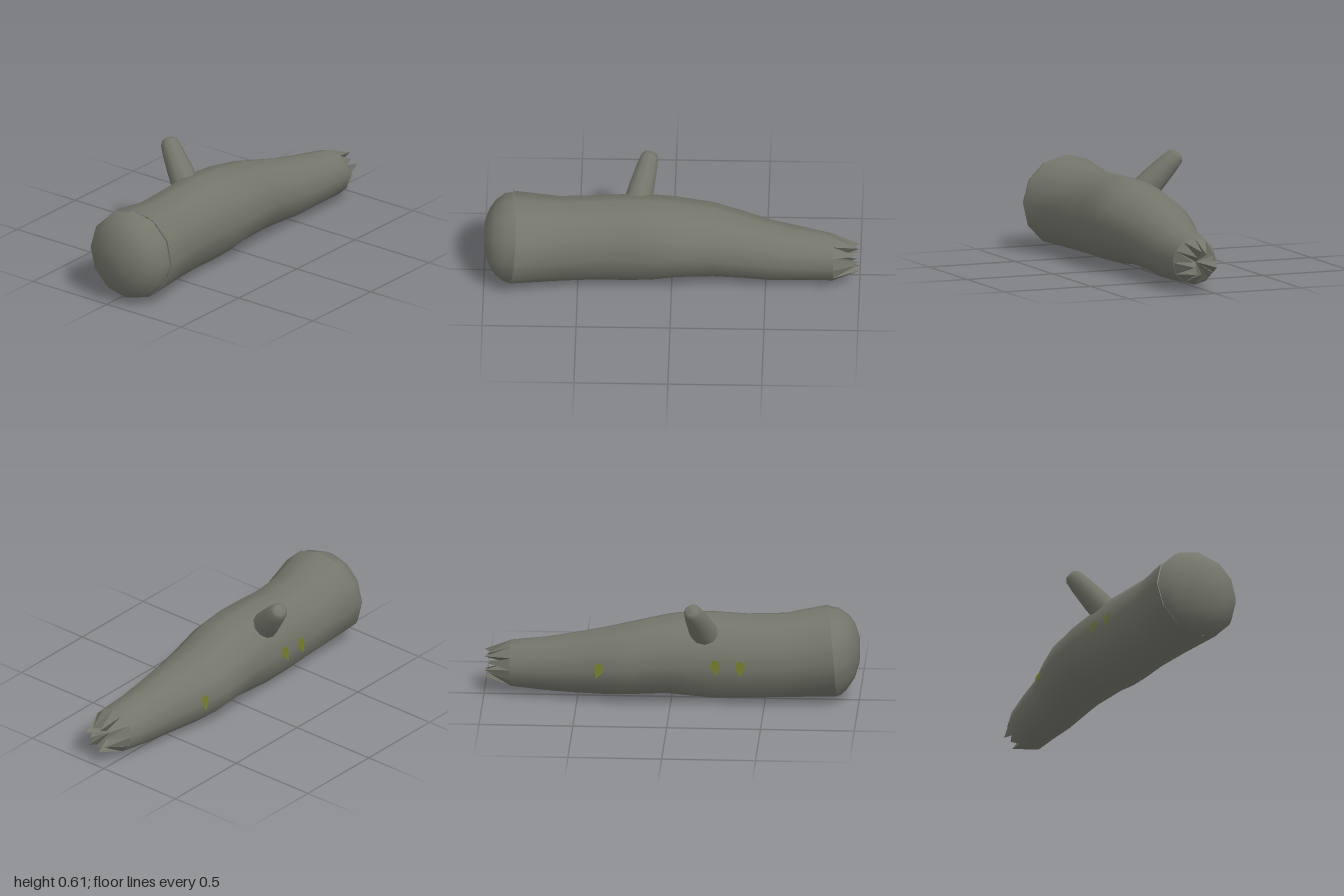
import * as THREE from 'three';

const SIDES = 12;

// Smooth skin through cross-sections: [x, bottom, top, back, front, lean]
function skin(sections) {
  const pos = [], idx = [];
  for (const [x, bottom, top, back, front, lean = 0] of sections) {
    const cy = (bottom + top) / 2, cz = (back + front) / 2;
    for (let j = 0; j < SIDES; j++) {
      const a = (j / SIDES) * Math.PI * 2;
      const dy = Math.cos(a) * (top - bottom) / 2, dz = Math.sin(a) * (front - back) / 2;
      pos.push(x + lean * (dy + dz), cy + dy, cz + dz);
    }
  }
  for (let i = 0; i < sections.length - 1; i++) {
    for (let j = 0; j < SIDES; j++) {
      const k = (j + 1) % SIDES, p = i * SIDES, q = p + SIDES;
      idx.push(p + j, p + k, q + j, p + k, q + k, q + j);
    }
  }
  const g = new THREE.BufferGeometry();
  g.setAttribute('position', new THREE.Float32BufferAttribute(pos, 3));
  g.setIndex(idx);
  g.computeVertexNormals();
  return g;
}

// Ring of pointed splinters falling in to a sunken centre
function splinterGeometry(x, cy, cz, r) {
  const pos = [];
  const at = (px, rad, t) => {
    const a = (t / SIDES) * Math.PI * 2;
    return [px, cy + Math.cos(a) * rad, cz + Math.sin(a) * rad];
  };
  const centre = [x + 0.015, cy, cz];
  for (let j = 0; j < SIDES; j++) {
    const a = at(x, r, j), b = at(x, r, j + 1);
    const tip = at(j % 2 ? 0.985 : 1, j % 2 ? 0.055 : 0.072, j + 0.5);
    pos.push(...a, ...b, ...tip, ...tip, ...b, ...centre, ...a, ...tip, ...centre);
  }
  const g = new THREE.BufferGeometry();
  g.setAttribute('position', new THREE.Float32BufferAttribute(pos, 3));
  g.computeVertexNormals();
  return g;
}

export function createModel() {
  const log = new THREE.Group();
  log.name = 'fallenLog';
  const bark = new THREE.MeshStandardMaterial({ color: 0x74766b });
  const splinterWood = new THREE.MeshStandardMaterial({ color: 0x74766b, side: THREE.DoubleSide });
  const leafGreen = new THREE.MeshStandardMaterial({ color: 0x6c7428, side: THREE.DoubleSide });
  bark.name = 'bark';
  splinterWood.name = 'splinterWood';
  leafGreen.name = 'leafGreen';

  const add = (name, geometry, material) => {
    const mesh = new THREE.Mesh(geometry, material);
    mesh.name = name;
    log.add(mesh);
    return mesh;
  };

  // Trunk, tapering and bending towards +x
  add('trunk', skin([
    [-0.855, 0.012, 0.507, -0.2, 0.307, 0.08],
    [-0.6, 0.008, 0.468, -0.19, 0.25],
    [-0.4, 0.005, 0.468, -0.198, 0.225],
    [-0.23, 0.002, 0.478, -0.203, 0.226],
    [-0.1, 0.014, 0.474, -0.208, 0.236],
    [0.02, 0.03, 0.458, -0.214, 0.23],
    [0.22, 0.024, 0.415, -0.213, 0.2],
    [0.36, 0.018, 0.38, -0.183, 0.187],
    [0.52, 0.014, 0.342, -0.135, 0.183],
    [0.68, 0.022, 0.31, -0.112, 0.179],
    [0.86, 0.033, 0.283, -0.072, 0.182],
  ]), bark);

  // Rounded butt end
  add('roundedEnd', skin([
    [-1, 0.262, 0.264, 0.054, 0.056],
    [-0.998, 0.19, 0.335, -0.02, 0.13],
    [-0.975, 0.11, 0.405, -0.095, 0.2],
    [-0.94, 0.055, 0.455, -0.15, 0.25],
    [-0.895, 0.022, 0.492, -0.185, 0.285, 0.04],
    [-0.855, 0.012, 0.5, -0.195, 0.3, 0.08],
  ]), bark);

  // Snapped end
  add('splinters', splinterGeometry(0.86, 0.158, 0.055, 0.125), splinterWood);

  // Branch stub with a rounded tip
  const base = new THREE.Vector3(-0.197, 0.355, -0.075);
  const axis = new THREE.Vector3(-0.118, 0.593, -0.283).sub(base);
  const h = axis.length();
  const profile = [[0.078, 0], [0.07, h * 0.4], [0.057, h * 0.75], [0.047, h - 0.025], [0.032, h - 0.006], [0, h]];
  const branch = add('branch',
    new THREE.LatheGeometry(profile.map(([r, y]) => new THREE.Vector2(r, y)), 10), bark);
  branch.position.copy(base);
  branch.quaternion.setFromUnitVectors(new THREE.Vector3(0, 1, 0), axis.normalize());

  // Small pointed leaves hanging on the back
  const leafShape = new THREE.Shape();
  leafShape.moveTo(-0.022, 0);
  leafShape.lineTo(0.012, 0.008);
  leafShape.lineTo(0.027, -0.022);
  leafShape.lineTo(0, -0.08);
  leafShape.lineTo(-0.024, -0.035);
  const leafGeometry = new THREE.ShapeGeometry(leafShape);
  for (const [x, y, z, tilt, roll] of [
    [-0.38, 0.27, -0.204, 0.28, 0.1],
    [-0.24, 0.275, -0.208, 0.26, -0.15],
    [0.37, 0.235, -0.173, 0.36, 0.3],
  ]) {
    const leaf = add('leaf', leafGeometry, leafGreen);
    leaf.position.set(x, y, z);
    leaf.rotation.set(tilt, 0, roll);
  }
  return log;
}
